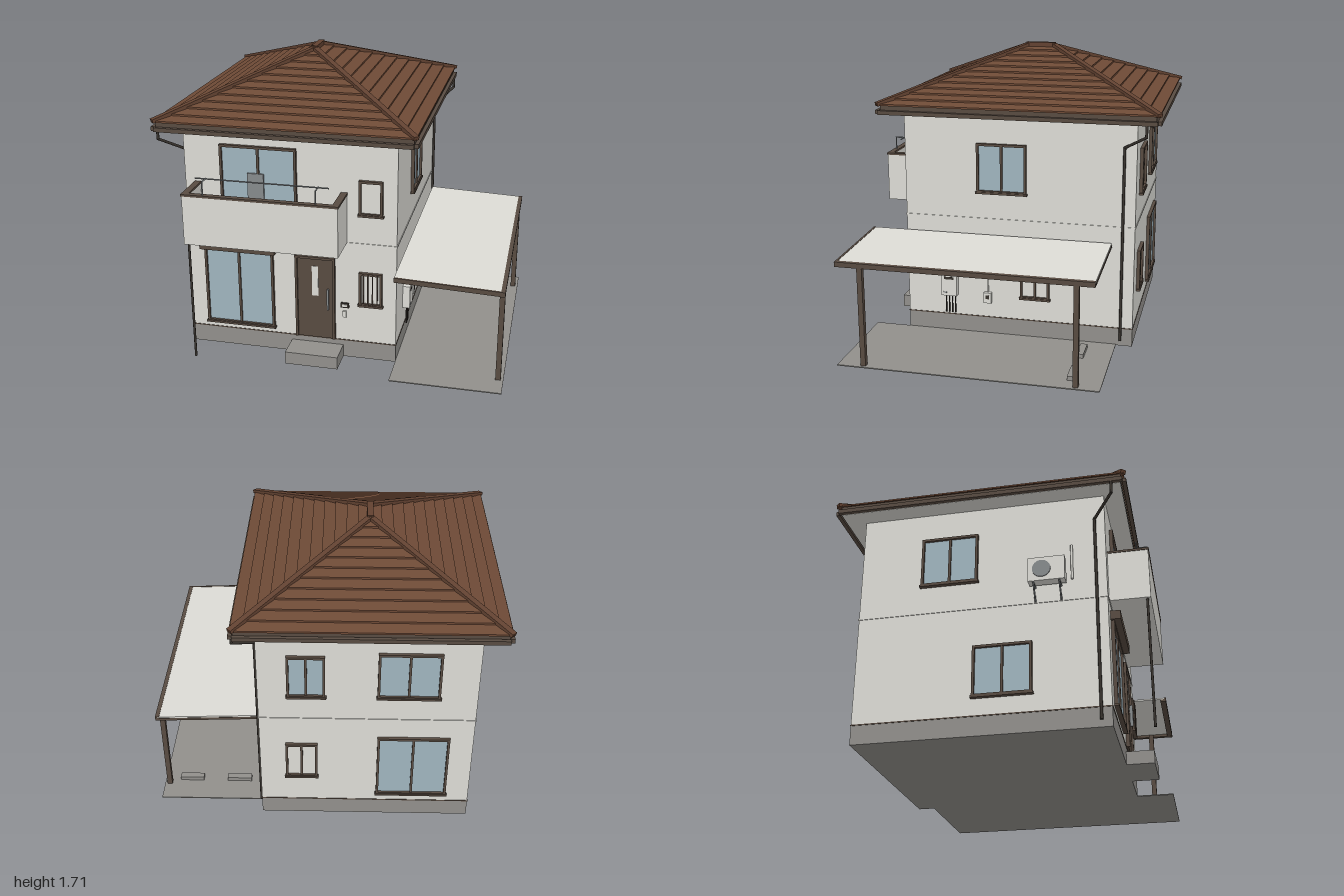
import * as THREE from 'three';

const mat = (name, color, side = THREE.FrontSide) => {
  const m = new THREE.MeshStandardMaterial({ color, side });
  m.name = name;
  return m;
};

export function createModel() {
  const house = new THREE.Group();
  house.name = 'house';
  const M = {
    wall: mat('plaster', 0xdcdbd5),
    base: mat('concrete', 0x918f8b),
    trim: mat('brownTrim', 0x584b41),
    roof: mat('roofTile', 0x6e4a36, THREE.DoubleSide),
    cap: mat('ridgeCap', 0x624231),
    glass: mat('glass', 0x9fb4be),
    pipe: mat('darkPipe', 0x37322d),
    metal: mat('greyMetal', 0x868a8c),
  };

  const add = (parent, name, geo, m) => {
    const mesh = new THREE.Mesh(geo, m);
    mesh.name = name;
    parent.add(mesh);
    return mesh;
  };
  // Box given by its limits on each axis
  const box = (parent, name, m, x0, x1, y0, y1, z0, z1) => {
    const b = add(parent, name, new THREE.BoxGeometry(x1 - x0, y1 - y0, z1 - z0), m);
    b.position.set((x0 + x1) / 2, (y0 + y1) / 2, (z0 + z1) / 2);
    return b;
  };
  // Round bars joining a list of points
  const bars = (parent, name, m, r, pts) => {
    const path = new THREE.CurvePath();
    const v = pts.map((p) => new THREE.Vector3(...p));
    for (let i = 1; i < v.length; i++) {
      const d = v[i].clone().sub(v[i - 1]);
      const c = add(parent, name, new THREE.CylinderGeometry(r, r, d.length() + r, 10), m);
      c.position.copy(v[i]).add(v[i - 1]).multiplyScalar(0.5);
      c.quaternion.setFromUnitVectors(new THREE.Vector3(0, 1, 0), d.normalize());
    }
    return path;
  };

  // Walls and foundation
  const X0 = -0.86, X1 = 0.37, Z0 = -0.73, Z1 = 0.645;
  box(house, 'foundation', M.base, X0, X1, 0, 0.11, Z0, Z1);
  box(house, 'walls', M.wall, X0, X1, 0.11, 1.36, Z0, Z1);
  box(house, 'baseFlashing', M.trim, X0 - 0.003, X1 + 0.003, 0.106, 0.112, Z0 - 0.003, Z1 + 0.003);
  box(house, 'floorBand', M.wall, X0 - 0.004, X1 + 0.004, 0.724, 0.732, Z0 - 0.004, Z1 + 0.004);

  // One group per wall: local x runs along the wall, local z points outwards
  const side = (name, x, z, turn) => {
    const g = new THREE.Group();
    g.name = name;
    g.position.set(x, 0, z);
    g.rotation.y = turn;
    house.add(g);
    return g;
  };
  const front = side('frontWallParts', 0, Z1, 0);
  const right = side('rightWallParts', X1, 0, Math.PI / 2);
  const back = side('backWallParts', 0, Z0, Math.PI);
  const left = side('leftWallParts', X0, 0, -Math.PI / 2);

  const addWindow = (wall, name, u0, u1, y0, y1, pane = M.glass, mullion = true) => {
    const g = new THREE.Group();
    g.name = name;
    wall.add(g);
    const f = 0.014, d = 0.02;
    box(g, 'pane', pane, u0 + f, u1 - f, y0 + f, y1 - f, -0.002, 0.006);
    for (const u of [u0, u1 - f]) box(g, 'frameSide', M.trim, u, u + f, y0, y1, 0, d);
    for (const y of [y0, y1 - f]) box(g, 'frameRail', M.trim, u0 + f, u1 - f, y, y + f, 0, d);
    box(g, 'sill', M.trim, u0 - 0.006, u1 + 0.006, y0 - 0.006, y0 + 0.006, 0, d + 0.005);
    const c = (u0 + u1) / 2;
    if (mullion) box(g, 'mullion', M.trim, c - 0.007, c + 0.007, y0 + f, y1 - f, 0, 0.015);
    return g;
  };
  addWindow(front, 'terraceWindow', -0.765, -0.35, 0.15, 0.63);
  addWindow(front, 'balconyWindow', -0.645, -0.2, 0.8, 1.265);
  addWindow(front, 'upperSmallWindow', 0.155, 0.29, 0.905, 1.11, M.wall, false);
  const barred = addWindow(front, 'lowerSmallWindow', 0.155, 0.29, 0.35, 0.555, M.wall, false);
  for (let i = 0; i < 4; i++) {
    const u = 0.182 + i * 0.027;
    box(barred, 'windowBar', M.trim, u - 0.003, u + 0.003, 0.355, 0.55, 0.015, 0.025);
  }
  addWindow(right, 'rightUpperWindow', -0.205, 0.093, 0.89, 1.185);
  addWindow(right, 'rightLowerWindow', 0.057, 0.233, 0.25, 0.47, M.wall);
  addWindow(back, 'backUpperSmallWindow', -0.205, 0.01, 0.89, 1.165);
  addWindow(back, 'backUpperWindow', 0.3, 0.65, 0.89, 1.19);
  addWindow(back, 'backLowerSmallWindow', -0.22, -0.035, 0.3, 0.545, M.wall);
  addWindow(back, 'backTerraceWindow', 0.31, 0.725, 0.17, 0.6);
  addWindow(left, 'leftUpperWindow', -0.38, -0.06, 0.89, 1.185);
  addWindow(left, 'leftLowerWindow', -0.08, 0.24, 0.21, 0.5);
  box(front, 'shutterBox', M.trim, -0.78, -0.33, 0.63, 0.68, 0, 0.055);
  box(front, 'ventPanel', M.metal, -0.485, -0.39, 0.8, 1.105, 0.005, 0.018);

  // Front door, step and doorbell
  box(front, 'door', M.trim, -0.205, 0, 0.115, 0.615, 0, 0.012);
  for (const u of [-0.22, 0.001]) box(front, 'doorJamb', M.trim, u, u + 0.014, 0.115, 0.63, 0, 0.022);
  box(front, 'doorHead', M.trim, -0.206, 0.001, 0.616, 0.63, 0, 0.022);
  box(front, 'doorLight', M.wall, -0.12, -0.083, 0.385, 0.57, 0.01, 0.015);
  box(front, 'doorHandle', M.metal, -0.03, -0.02, 0.305, 0.435, 0.012, 0.03);
  box(front, 'doorStep', M.base, -0.25, 0.06, 0, 0.075, 0, 0.155);
  box(front, 'doorbell', M.pipe, 0.048, 0.096, 0.323, 0.352, 0, 0.012);
  box(front, 'doorbellFace', M.wall, 0.058, 0.086, 0.331, 0.345, 0.01, 0.015);
  box(front, 'doorSwitchBox', M.wall, 0.06, 0.08, 0.262, 0.3, 0, 0.012);

  // Balcony: floor, three parapets with dark copings, drying rail and drain
  const bx0 = -0.8, bx1 = 0.085, bd = 0.22, t = 0.03;
  box(front, 'balconyFloor', M.wall, bx0, bx1, 0.73, 0.78, 0, bd);
  const parapets = [[bx0, bx0 + t, 0, bd], [bx1 - t, bx1, 0, bd], [bx0 + t, bx1 - t, bd - t, bd]];
  for (const [a, b, c, d] of parapets) {
    box(front, 'balconyParapet', M.wall, a, b, 0.78, 1.018, c, d);
    box(front, 'balconyCoping', M.trim, a - 0.004, b + 0.004, 1.018, 1.03, c, d + 0.004);
  }
  for (const u of [-0.68, -0.04])
    bars(front, 'railBracket', M.metal, 0.004, [[u, 1.025, 0.207], [u, 1.105, 0.207], [u, 1.105, 0.145]]);
  bars(front, 'dryingRail', M.metal, 0.004, [[-0.74, 1.105, 0.152], [0.02, 1.105, 0.152]]);
  bars(front, 'balconyDrain', M.pipe, 0.007, [[-0.78, 0.015, 0.2], [-0.78, 0.73, 0.2]]);

  // Eaves: soffit, fascia and gutters
  box(house, 'soffit', M.wall, -0.97, 0.47, 1.352, 1.36, -0.84, 0.75);
  box(house, 'fascia', M.trim, -0.972, 0.472, 1.36, 1.405, -0.842, 0.752);
  for (const x of [-0.997, 0.475]) box(house, 'sideGutter', M.trim, x, x + 0.022, 1.35, 1.374, -0.85, 0.762);
  for (const z of [-0.87, 0.76]) box(house, 'endGutter', M.trim, -0.975, 0.475, 1.35, 1.374, z, z + 0.022);

  // Hipped roof in overlapping tile courses
  const cx = -0.25, cz = -0.045, H = 0.735, ridge = 0.08, yE = 1.4, yR = 1.685, N = 11, lip = 0.01;
  const ring = (s, lift) => {
    const a = H * (1 - s), b = ridge + H * (1 - s), y = yE + (yR - yE) * s + lift;
    return [[cx - a, y, cz + b], [cx + a, y, cz + b], [cx + a, y, cz - b], [cx - a, y, cz - b]];
  };
  const pos = [];
  for (let i = 0; i < N; i++) {
    const rings = [ring(i / N, 0), ring(i / N, lip), ring((i + 1) / N, 0)];
    for (let k = 0; k < 2; k++) {
      for (let j = 0; j < 4; j++) {
        const n = (j + 1) % 4, A = rings[k], B = rings[k + 1];
        pos.push(...A[j], ...A[n], ...B[n], ...A[j], ...B[n], ...B[j]);
      }
    }
  }
  const roofGeo = new THREE.BufferGeometry();
  roofGeo.setAttribute('position', new THREE.Float32BufferAttribute(pos, 3));
  roofGeo.computeVertexNormals();
  add(house, 'tiledRoof', roofGeo, M.roof);
  for (const sx of [-1, 1]) {
    for (const sz of [-1, 1]) {
      const a = new THREE.Vector3(cx + sx * H, yE + 0.008, cz + sz * (H + ridge));
      const b = new THREE.Vector3(cx, yR + 0.008, cz + sz * ridge);
      const hip = add(house, 'hipCap', new THREE.BoxGeometry(0.034, 0.022, a.distanceTo(b)), M.cap);
      hip.position.copy(a).add(b).multiplyScalar(0.5);
      hip.lookAt(b);
    }
  }
  box(house, 'ridgeCap', M.cap, cx - 0.018, cx + 0.018, yR - 0.005, yR + 0.023, cz - 0.09, cz + 0.09);

  // Downpipes from the gutters
  bars(house, 'rightDownpipe', M.pipe, 0.008,
    [[0.486, 1.355, -0.79], [0.486, 1.285, -0.79], [0.381, 1.2, -0.66], [0.381, 0.04, -0.66]]);
  bars(house, 'leftDownpipe', M.pipe, 0.008,
    [[-0.986, 1.355, 0.7], [-0.986, 1.285, 0.7], [-0.873, 1.2, 0.59], [-0.873, 0.04, 0.59]]);

  // Wall-hung outdoor unit on the left
  box(left, 'outdoorUnit', M.wall, 0.23, 0.43, 0.82, 0.96, 0.018, 0.075);
  const fan = add(left, 'fanGrille', new THREE.CylinderGeometry(0.05, 0.05, 0.006, 24), M.metal);
  fan.rotation.x = Math.PI / 2;
  fan.position.set(0.305, 0.89, 0.077);
  for (const u of [0.26, 0.4])
    bars(left, 'unitBracket', M.metal, 0.005, [[u, 0.73, 0.004], [u, 0.815, 0.07], [u, 0.815, 0.004]]);
  bars(left, 'unitPipe', M.wall, 0.007, [[0.46, 0.85, 0.008], [0.46, 1.05, 0.008]]);

  // Water heater and meter on the right
  box(right, 'waterHeater', M.wall, -0.425, -0.33, 0.24, 0.38, 0, 0.043);
  box(right, 'heaterVent', M.pipe, -0.407, -0.348, 0.345, 0.36, 0.04, 0.046);
  box(right, 'heaterPanel', M.metal, -0.412, -0.392, 0.258, 0.266, 0.04, 0.046);
  for (let i = 0; i < 4; i++) {
    const u = -0.402 + i * 0.019;
    bars(right, 'heaterPipe', M.pipe, 0.004, [[u, 0.13, 0.02], [u, 0.24, 0.02]]);
  }
  box(right, 'meterBox', M.wall, -0.167, -0.12, 0.205, 0.27, 0, 0.025);
  box(right, 'meterWindow', M.pipe, -0.155, -0.132, 0.232, 0.255, 0.022, 0.028);
  bars(right, 'meterConduit', M.wall, 0.004, [[-0.143, 0.27, 0.006], [-0.143, 0.42, 0.006]]);

  // Parking slab, wheel stops and carport
  box(house, 'parkingSlab', M.base, X1, 1, 0, 0.006, -0.635, 0.86);
  for (const [a, b] of [[0.46, 0.61], [0.76, 0.905]]) box(house, 'wheelStop', M.base, a, b, 0.006, 0.03, -0.48, -0.44);
  for (const z of [-0.5, 0.71]) box(house, 'carportPost', M.trim, 0.955, 0.985, 0.006, 0.6, z - 0.015, z + 0.015);
  const carport = new THREE.Group();
  carport.name = 'carport';
  carport.position.set(0.39, 0.637, 0);
  carport.rotation.z = -Math.atan2(0.024, 0.6);
  house.add(carport);
  box(carport, 'carportRoof', M.wall, 0, 0.59, -0.01, 0, -0.6, 0.842);
  box(carport, 'outerBeam', M.trim, 0.578, 0.602, -0.027, 0.002, -0.6, 0.852);
  for (let i = 0; i < 5; i++) {
    const z = -0.59 + i * 0.355;
    box(carport, 'rafter', M.trim, 0, 0.58, -0.025, -0.009, z - 0.012, z + 0.012);
  }
  box(carport, 'frontBeam', M.trim, 0, 0.58, -0.025, 0.002, 0.84, 0.852);
  return house;
}
